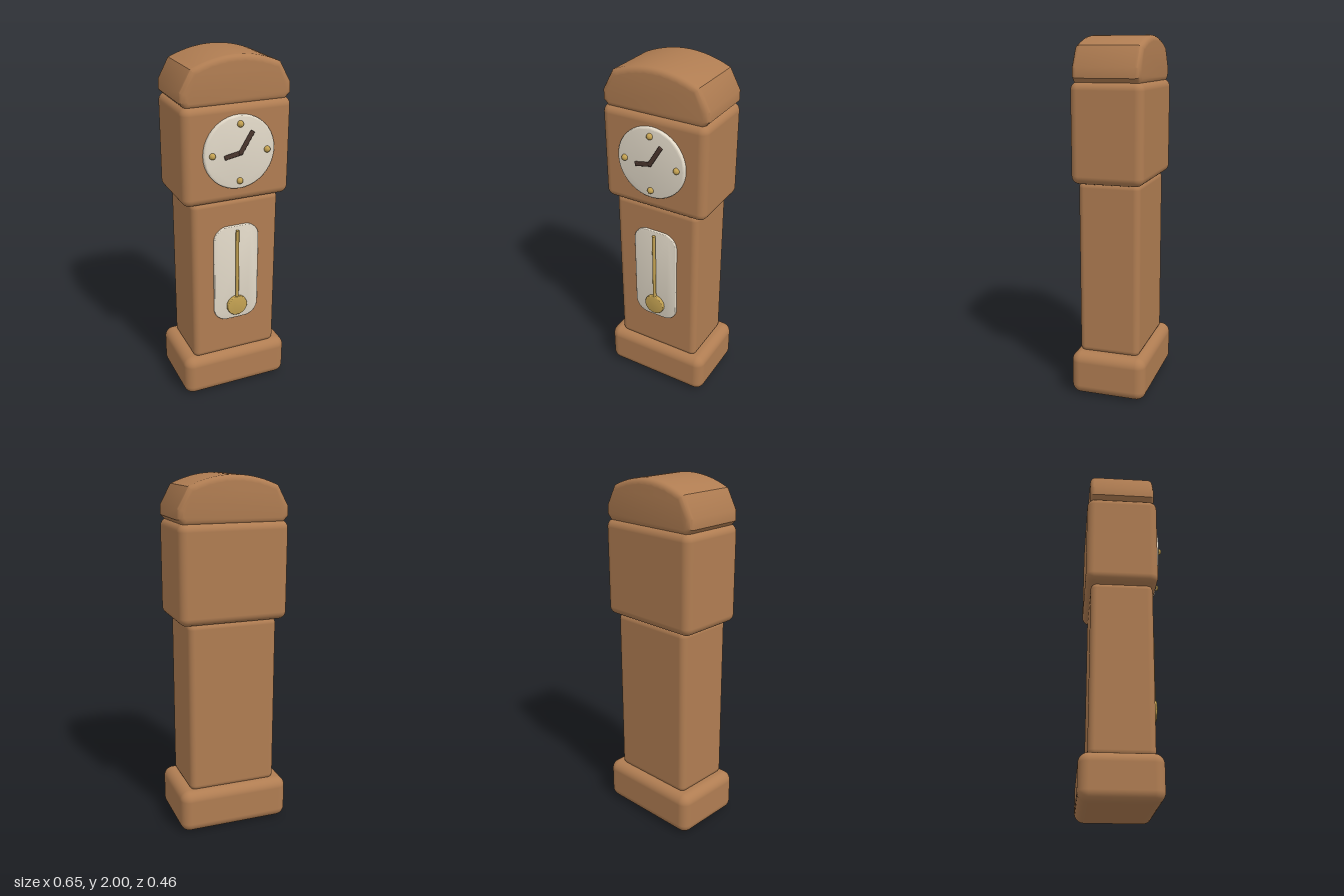
import * as THREE from 'three';
import { RoundedBoxGeometry } from 'three/addons/geometries/RoundedBoxGeometry.js';
import { toCreasedNormals } from 'three/addons/utils/BufferGeometryUtils.js';

const mat = (color) => new THREE.MeshStandardMaterial({ color });

export function createModel() {
  const group = new THREE.Group();
  const wood = mat(0xb07d52), cream = mat(0xe2d9c8), brass = mat(0xc4a252), dark = mat(0x4a362e);

  const add = (name, geometry, material, x = 0, y = 0, z = 0) => {
    const mesh = new THREE.Mesh(geometry, material);
    mesh.name = name;
    mesh.position.set(x, y, z);
    group.add(mesh);
    return mesh;
  };

  // Rounded wooden block given by half width, y range and z range
  const block = (name, hw, y0, y1, z0, z1, r) =>
    add(name, new RoundedBoxGeometry(hw * 2, y1 - y0, z1 - z0, 5, r), wood, 0, (y0 + y1) / 2, (z0 + z1) / 2);

  // Extrusion whose total depth runs from z0 to z1; the bevel grows the outline
  const slab = (name, shape, z0, z1, bevel, material, segments = 3) => {
    const geometry = new THREE.ExtrudeGeometry(shape, {
      depth: z1 - z0 - bevel * 2, bevelSize: bevel, bevelThickness: bevel,
      bevelSegments: segments, curveSegments: 20,
    });
    return add(name, toCreasedNormals(geometry, 0.6), material, 0, 0, z0 + bevel);
  };

  // Case
  block('base', 0.323, 0, 0.248, -0.234, 0.2, 0.055);
  block('trunk', 0.257, 0.235, 1.225, -0.185, 0.164, 0.035);
  block('head', 0.31, 1.215, 1.76, -0.215, 0.19, 0.045);

  // Arched hood with sloping shoulders
  const arch = new THREE.Shape();
  arch.moveTo(-0.265, 1.775);
  arch.lineTo(0.265, 1.775);
  arch.lineTo(0.28, 1.79);
  arch.lineTo(0.28, 1.825);
  arch.lineTo(0.228, 1.92);
  arch.quadraticCurveTo(0, 2.02, -0.228, 1.92);
  arch.lineTo(-0.28, 1.825);
  arch.lineTo(-0.28, 1.79);
  arch.closePath();
  slab('hood', arch, -0.2, 0.175, 0.03, wood, 4);

  // Dial with four hour markers
  const dialY = 1.5;
  const disc = new THREE.Shape().absarc(0, dialY, 0.193, 0, Math.PI * 2);
  slab('dial', disc, 0.17, 0.209, 0.009, cream);
  for (let i = 0; i < 4; i++) {
    const a = i * Math.PI / 2;
    add('hourMarker', new THREE.SphereGeometry(0.018, 10, 8), brass,
      0.156 * Math.cos(a), dialY + 0.156 * Math.sin(a), 0.211);
  }

  // Hands, each running from the dial centre to its tip
  const hand = (name, x, y, z) => {
    const length = Math.hypot(x, y);
    const mesh = add(name, new RoundedBoxGeometry(length + 0.016, 0.025, 0.012, 2, 0.005), dark,
      x / 2, dialY + y / 2, z);
    mesh.rotation.z = Math.atan2(y, x);
  };
  hand('minuteHand', 0.065, 0.106, 0.218);
  hand('hourHand', -0.082, -0.016, 0.215);

  // Rounded window panel
  const w = 0.13, y0 = 0.475, y1 = 1.06, r = 0.078;
  const panel = new THREE.Shape();
  panel.absarc(w - r, y0 + r, r, -Math.PI / 2, 0);
  panel.absarc(w - r, y1 - r, r, 0, Math.PI / 2);
  panel.absarc(-w + r, y1 - r, r, Math.PI / 2, Math.PI);
  panel.absarc(-w + r, y0 + r, r, Math.PI, Math.PI * 1.5);
  panel.closePath();
  slab('window', panel, 0.15, 0.175, 0.005, cream);

  // Pendulum
  add('pendulumRod', new THREE.CylinderGeometry(0.01, 0.01, 0.47, 10), brass, 0, 0.805, 0.187);
  const bob = new THREE.Shape().absarc(0, 0.562, 0.056, 0, Math.PI * 2);
  slab('pendulumBob', bob, 0.176, 0.198, 0.005, brass);

  return group;
}
